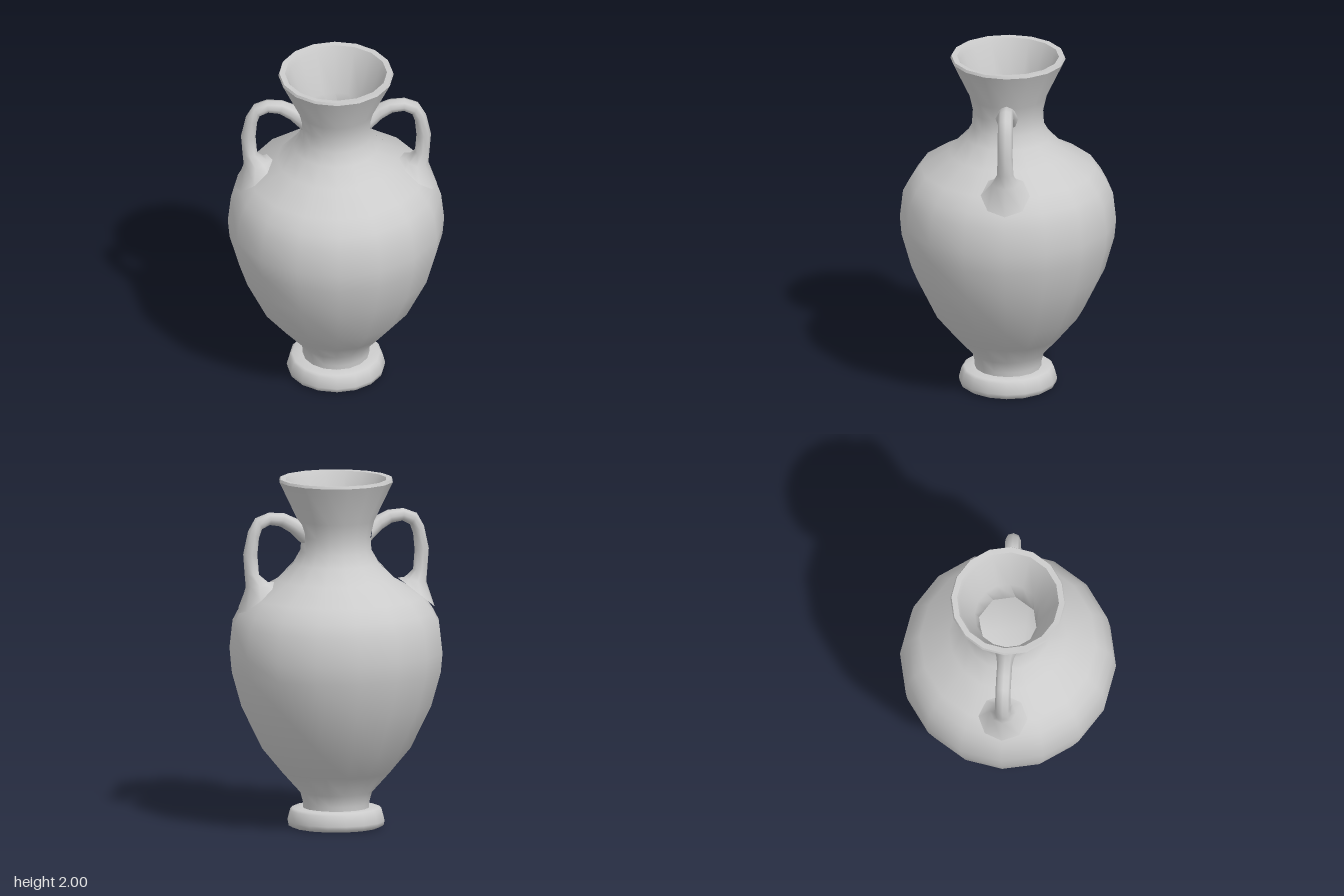
import * as THREE from 'three';
import { toCreasedNormals } from 'three/addons/utils/BufferGeometryUtils.js';

const SIDES = 16;
const material = new THREE.MeshStandardMaterial({ color: 0xcccccc });

function addMesh(group, name, geometry, crease = 0.9) {
  const mesh = new THREE.Mesh(toCreasedNormals(geometry, crease), material);
  mesh.name = name;
  group.add(mesh);
  return mesh;
}

// Turned surface from [radius, height] pairs
function turned(profile) {
  return new THREE.LatheGeometry(profile.map(([r, y]) => new THREE.Vector2(r, y)), SIDES);
}

// Hollow inside: the throat and everything below it narrows to a turned octagon
function hollow() {
  const geometry = turned([
    [0.29, 1.997], [0.275, 1.97], [0.19, 1.74], [0.17, 1.6], [0.3, 1.45],
    [0.5, 1.25], [0.55, 1.0], [0.4, 0.5], [0.15, 0.25], [0, 0.22],
  ]);
  const pos = geometry.attributes.position;
  const step = (Math.PI * 2) / SIDES;
  for (let i = 0; i < pos.count; i++) {
    if (pos.getY(i) > 1.65) continue;
    const angle = Math.atan2(pos.getX(i), pos.getZ(i));
    const odd = Math.abs(Math.round(angle / step)) % 2 === 1;
    const r = Math.hypot(pos.getX(i), pos.getZ(i)) * (odd ? Math.cos(step) : 1);
    pos.setX(i, r * Math.sin(angle - step / 2));
    pos.setZ(i, r * Math.cos(angle - step / 2));
  }
  return geometry;
}

// Handle skinned over oval rings: [outer x, outer y, inner x, inner y, half width]
function handleGeometry() {
  const rings = [
    [0.2, 1.76, 0.19, 1.62, 0.065],
    [0.24, 1.78, 0.265, 1.695, 0.05],
    [0.3, 1.808, 0.325, 1.733, 0.043],
    [0.39, 1.815, 0.385, 1.743, 0.043],
    [0.47, 1.785, 0.43, 1.72, 0.043],
    [0.512, 1.71, 0.448, 1.67, 0.043],
    [0.54, 1.58, 0.457, 1.575, 0.043],
    [0.532, 1.47, 0.448, 1.46, 0.047],
    [0.525, 1.39, 0.395, 1.415, 0.075],
    [0.575, 1.24, 0.36, 1.415, 0.14],
  ];
  const n = 8;
  const positions = [];
  const index = [];
  rings.forEach(([ox, oy, ix, iy, w], i) => {
    for (let j = 0; j < n; j++) {
      const a = (j / n) * Math.PI * 2;
      const c = Math.cos(a) / 2;
      positions.push((ox + ix) / 2 + (ox - ix) * c, (oy + iy) / 2 + (oy - iy) * c, w * Math.sin(a));
      if (i === rings.length - 1) continue;
      const p = i * n + j;
      const q = i * n + ((j + 1) % n);
      index.push(p, q, p + n, q, q + n, p + n);
    }
  });
  const geometry = new THREE.BufferGeometry();
  geometry.setAttribute('position', new THREE.Float32BufferAttribute(positions, 3));
  geometry.setIndex(index);
  return geometry;
}

export function createModel() {
  const model = new THREE.Group();
  model.name = 'amphora';

  // Belly, shoulder and flaring neck
  addMesh(model, 'body', turned([
    [0.19, 0.09], [0.19, 0.135], [0.207, 0.2], [0.31, 0.315], [0.43, 0.46],
    [0.55, 0.705], [0.605, 0.9], [0.615, 1.01], [0.597, 1.17], [0.56, 1.24],
    [0.5, 1.325], [0.335, 1.42], [0.245, 1.515], [0.205, 1.585],
    [0.2, 1.67], [0.22, 1.76], [0.328, 1.985],
  ]));

  // Lip and hollow inside
  addMesh(model, 'rim', turned([[0.328, 1.985], [0.322, 2], [0.29, 1.997]]));
  addMesh(model, 'inside', hollow(), 1.1);

  // Foot ring
  addMesh(model, 'foot', turned([
    [0, 0], [0.255, 0], [0.275, 0.012], [0.28, 0.035], [0.264, 0.095], [0.25, 0.108], [0.18, 0.11],
  ]));

  // Pair of handles
  for (const [name, turn] of [['leftHandle', 0], ['rightHandle', Math.PI]]) {
    addMesh(model, name, handleGeometry(), 1.2).rotation.y = turn;
  }

  return model;
}
